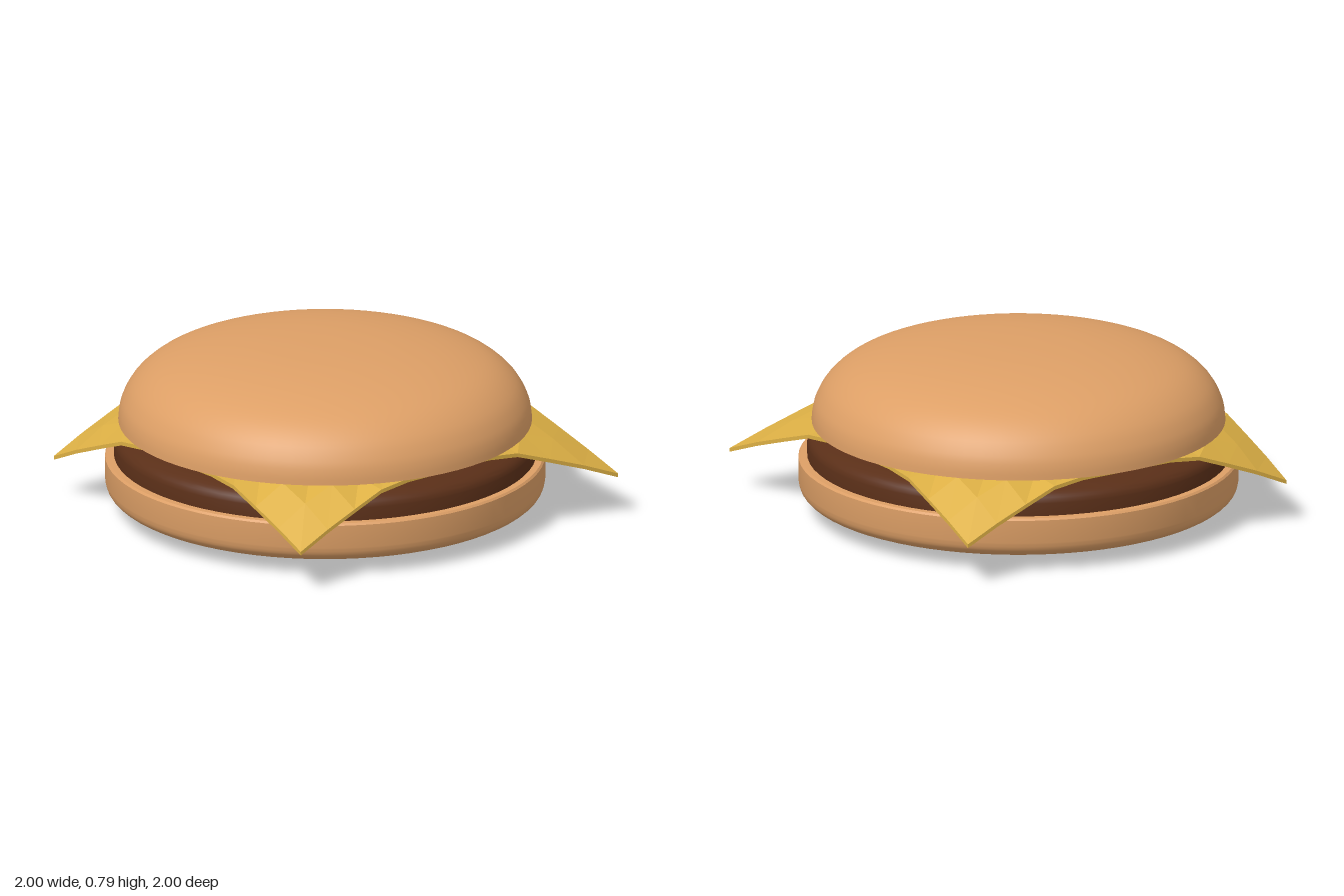
import * as THREE from 'three';
import { toCreasedNormals } from 'three/addons/utils/BufferGeometryUtils.js';

const material = (color, extra = {}) => {
  const m = new THREE.MeshStandardMaterial({ color, ...extra });
  return m;
};

// Smooth curve through [radius, height] points
const curve = (points, n = 24) =>
  new THREE.SplineCurve(points.map(([r, y]) => new THREE.Vector2(r, y)))
    .getPoints(n)
    .map((p) => new THREE.Vector2(Math.max(0, p.x), p.y));

// Turned part, profile from the lower centre to the upper centre
function turned(name, profile, mat) {
  const geometry = toCreasedNormals(new THREE.LatheGeometry(profile, 72), 0.6);
  const mesh = new THREE.Mesh(geometry, mat);
  mesh.name = name;
  return mesh;
}

// Square slice whose corners droop over the patty
function cheeseSlice(mat) {
  const half = 0.875;
  const geometry = new THREE.BoxGeometry(2 * half, 0.018, 2 * half, 11, 1, 11);
  const pos = geometry.attributes.position;
  for (let i = 0; i < pos.count; i++) {
    const x = pos.getX(i), z = pos.getZ(i);
    const over = Math.max(0, Math.hypot(x, z) - 0.92);
    const drop = Math.min(0.67 * over, 3.5 * over * over + 0.3 * over);
    // The front left corner flares outwards a little
    const flare = x > 0 && z > 0 ? drop / 0.21 : 0;
    pos.setXYZ(i, x + 0.06 * flare, pos.getY(i) + 0.406 - drop, z + 0.08 * flare);
  }
  geometry.computeVertexNormals();
  const mesh = new THREE.Mesh(geometry, mat);
  mesh.name = 'cheeseSlice';
  return mesh;
}

export function createModel() {
  const group = new THREE.Group();
  group.name = 'burger';
  const bun = material(0xdd9f66);
  const v = (r, y) => new THREE.Vector2(r, y);

  // Lower bun: shallow rounded base, straight wall, flat top
  group.add(turned('bottomBun', [
    ...curve([[0, 0], [0.3, 0.004], [0.6, 0.017], [0.8, 0.036], [0.93, 0.064], [0.985, 0.098], [1, 0.14]]),
    v(1, 0.247), v(0.992, 0.256), v(0, 0.256),
  ], bun));

  // Patty with a rounded shoulder
  group.add(turned('patty', [
    v(0, 0.24), v(0.96, 0.24),
    ...curve([[0.96, 0.315], [0.95, 0.34], [0.92, 0.362], [0.85, 0.382], [0.7, 0.393]], 12),
    v(0, 0.395),
  ], material(0x5a2f18)));

  group.add(cheeseSlice(material(0xddb045, { flatShading: true })));

  // Domed upper bun with a flat underside
  group.add(turned('topBun', [
    v(0, 0.42),
    ...curve([[0.94, 0.42], [0.935, 0.47], [0.918, 0.525], [0.875, 0.595], [0.8, 0.66],
      [0.7, 0.707], [0.55, 0.747], [0.35, 0.776], [0.15, 0.788], [0, 0.79]], 32),
  ], bun));

  return group;
}
